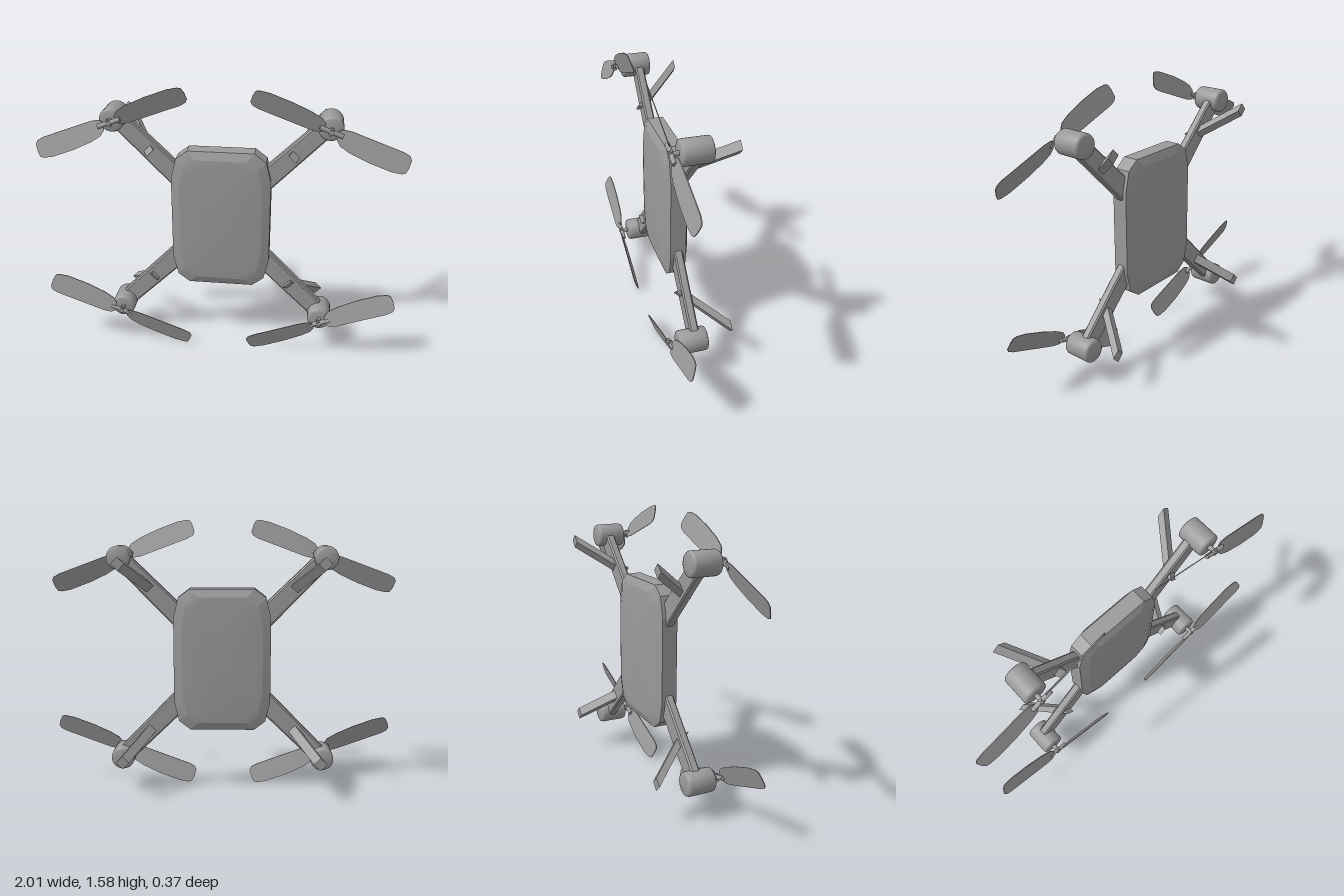
import * as THREE from 'three';
import { toCreasedNormals } from 'three/addons/utils/BufferGeometryUtils.js';

const grey = new THREE.MeshStandardMaterial({ color: 0x9a9a9a });
const MID = 0.788;     // height of the body centre
const MOTOR_R = 0.825; // distance of a motor from the body centre

function mesh(name, geometry) {
  const m = new THREE.Mesh(geometry, grey);
  m.name = name;
  return m;
}

function polygon(points) {
  return new THREE.Shape(points.map(([x, y]) => new THREE.Vector2(x, y)));
}

// Chamfered shell: one 12-sided outline, inset at each depth
function bodyShell() {
  const corner = [[0.278, 0.245], [0.25, 0.36], [0.185, 0.41]];
  const back = corner.slice().reverse();
  const outline = [
    ...corner, ...back.map(([x, y]) => [-x, y]),
    ...corner.map(([x, y]) => [-x, -y]), ...back.map(([x, y]) => [x, -y]),
  ];
  const layers = [[-0.035, 0.075], [-0.031, 0.045], [-0.012, 0], [0.077, 0], [0.096, 0.045], [0.1, 0.075]];
  const rings = layers.map(([z, inset]) => outline.map(([x, y]) =>
    [x - Math.sign(x) * inset, y - Math.sign(y) * inset, z]));
  const pos = [];
  const n = outline.length;
  const last = rings.length - 1;
  for (let i = 0; i < n; i++) {
    const j = (i + 1) % n;
    for (let k = 0; k < last; k++) {
      const a = rings[k][i], b = rings[k][j], c = rings[k + 1][j], d = rings[k + 1][i];
      pos.push(...a, ...b, ...c, ...a, ...c, ...d);
    }
    pos.push(0, 0, layers[0][0], ...rings[0][j], ...rings[0][i]);
    pos.push(0, 0, layers[last][0], ...rings[last][i], ...rings[last][j]);
  }
  const g = new THREE.BufferGeometry();
  g.setAttribute('position', new THREE.Float32BufferAttribute(pos, 3));
  return toCreasedNormals(g, 0.2);
}

// Tapered arm with small edge bevels, running along local x
function armGeometry() {
  const b = 0.008;
  const shape = polygon([[0.3, -0.058 + b], [0.82, -0.05 + b], [0.82, 0.05 - b], [0.3, 0.058 - b]]);
  const g = new THREE.ExtrudeGeometry(shape, {
    depth: 0.05 - 2 * b, bevelSize: b, bevelThickness: b, bevelSegments: 1,
  });
  return g.translate(0, 0, 0.008 + b);
}

// Slanted strut, drawn in the plane of the arm and the depth axis
function legGeometry() {
  const width = 0.053;
  const shape = polygon([[0.55, 0.087], [0.55, 0.034], [0.765, -0.186], [0.818, -0.186]]);
  const g = new THREE.ExtrudeGeometry(shape, { depth: width, bevelEnabled: false });
  return g.translate(0, 0, -width / 2).rotateX(Math.PI / 2);
}

// Motor can with rounded rims
function motorGeometry() {
  const r = 0.067, z0 = -0.034, z1 = 0.129, e = 0.014;
  const profile = [
    [0, z0], [r - e, z0], [r - e * 0.3, z0 + e * 0.3], [r, z0 + e],
    [r, z1 - e], [r - e * 0.3, z1 - e * 0.3], [r - e, z1], [0, z1],
  ].map(([x, y]) => new THREE.Vector2(x, y));
  const g = new THREE.LatheGeometry(profile, 32).rotateX(Math.PI / 2);
  return toCreasedNormals(g, 0.9);
}

// Thin pitched blade; flip mirrors the outline, pitch sets which edge is forward
function bladeGeometry(flip, pitch) {
  const outline = [
    [0.035, -0.015], [0.055, -0.03], [0.1, -0.037], [0.39, -0.038], [0.425, -0.032], [0.442, -0.016],
    [0.444, 0.025], [0.439, 0.053], [0.42, 0.064], [0.365, 0.073], [0.24, 0.073], [0.13, 0.064],
    [0.07, 0.051], [0.04, 0.027],
  ];
  const thick = 0.005;
  const shape = polygon(outline.map(([u, v]) => [u, v * flip]));
  const g = new THREE.ExtrudeGeometry(shape, { depth: thick, bevelEnabled: false });
  const p = g.attributes.position;
  for (let i = 0; i < p.count; i++) {
    const v = p.getY(i) * flip;
    p.setZ(i, p.getZ(i) - thick / 2 + pitch * 0.34 * (v - 0.018));
  }
  return toCreasedNormals(g, 0.5);
}

// Two-bladed rotor with its root bar, cross pin and hub
function rotor(sx, sy) {
  const group = new THREE.Group();
  group.name = 'propeller';
  const blade = bladeGeometry(-sx * sy, sy);
  for (const turn of [0, Math.PI]) {
    const b = mesh('propellerBlade', blade);
    b.rotation.z = turn;
    group.add(b);
  }
  group.add(mesh('bladeRootBar', new THREE.CylinderGeometry(0.013, 0.013, 0.13, 12).rotateZ(Math.PI / 2)));
  group.add(mesh('hubPin', new THREE.CylinderGeometry(0.008, 0.008, 0.045, 10)));
  group.add(mesh('hub', new THREE.CylinderGeometry(0.014, 0.014, 0.028, 16).rotateX(Math.PI / 2)));
  group.rotation.z = sx < 0 ? 0.36 * sy : Math.PI - 0.36 * sy;
  return group;
}

export function createModel() {
  const model = new THREE.Group();
  model.name = 'quadcopter';

  const body = mesh('body', bodyShell());
  body.position.y = MID;
  model.add(body);

  const arm = armGeometry();
  const leg = legGeometry();
  const motor = motorGeometry();
  const shaft = new THREE.CylinderGeometry(0.013, 0.013, 0.05, 16).rotateX(Math.PI / 2);

  // One arm assembly at each corner
  for (const sx of [1, -1]) {
    for (const sy of [1, -1]) {
      const corner = new THREE.Group();
      corner.name = (sy > 0 ? 'upper' : 'lower') + (sx > 0 ? 'Left' : 'Right') + 'Arm';
      corner.position.y = MID;
      corner.rotation.z = Math.atan2(sy, sx);
      corner.add(mesh('arm', arm), mesh('leg', leg));
      const can = mesh('motor', motor);
      const axle = mesh('motorShaft', shaft);
      can.position.x = MOTOR_R;
      axle.position.set(MOTOR_R, 0, 0.145);
      corner.add(can, axle);
      model.add(corner);

      const prop = rotor(sx, sy);
      const d = MOTOR_R / Math.SQRT2;
      prop.position.set(sx * d, MID + sy * d, 0.167);
      model.add(prop);
    }
  }
  return model;
}
